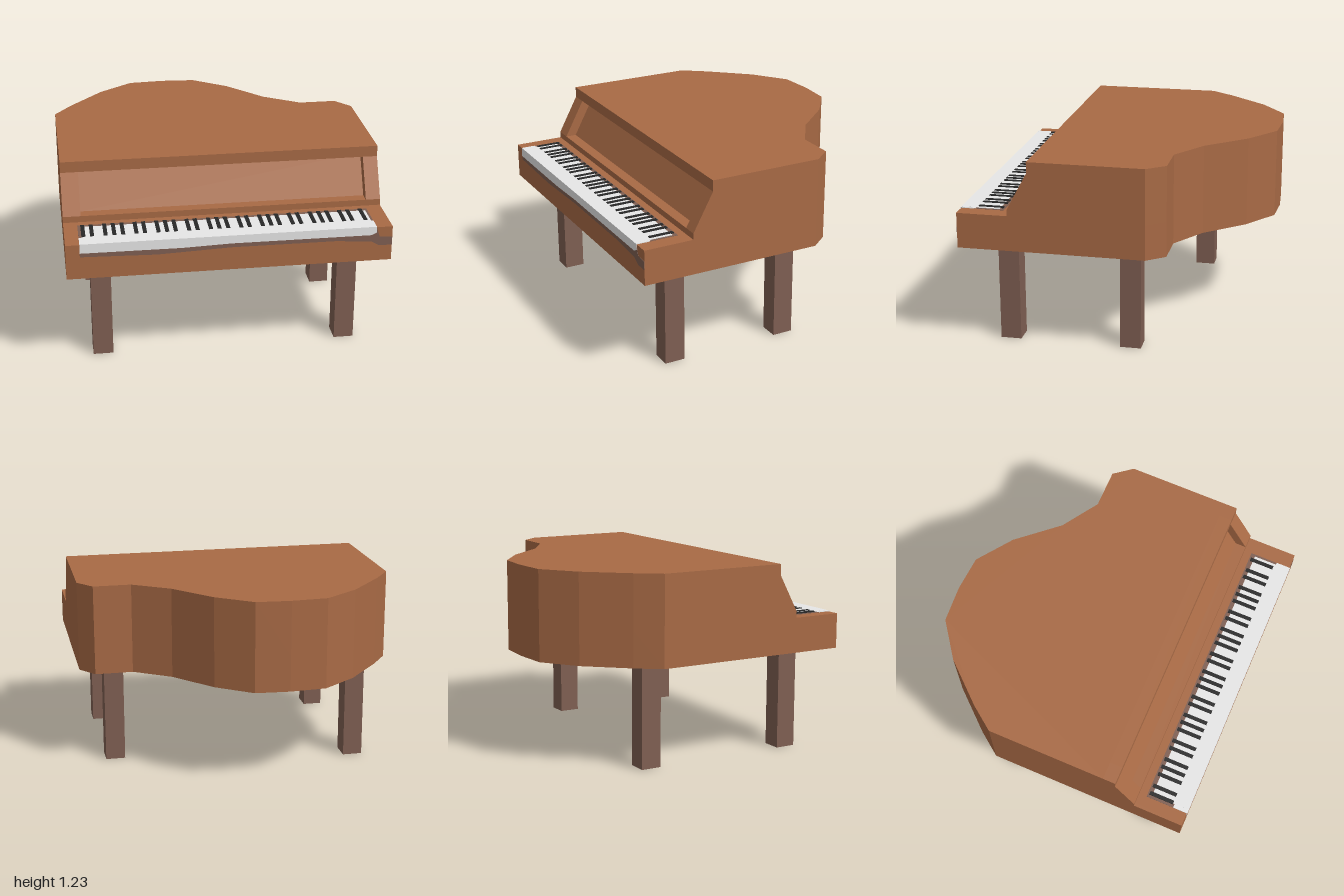
import * as THREE from 'three';

export function createModel() {
  const group = new THREE.Group();
  group.name = 'grandPiano';

  const mat = (name, color) => {
    const m = new THREE.MeshStandardMaterial({ color });
    m.name = name;
    return m;
  };
  const wood = mat('warm wood', 0xa86a45);
  const darkWood = mat('dark wood', 0x7f5f52);
  const ivory = mat('key white', 0xeeeeee);
  const ebony = mat('key black', 0x282828);

  const add = (name, geometry, material) => {
    const mesh = new THREE.Mesh(geometry, material);
    mesh.name = name;
    group.add(mesh);
    return mesh;
  };
  const box = (name, material, x0, x1, y0, y1, z0, z1) =>
    add(name, new THREE.BoxGeometry(x1 - x0, y1 - y0, z1 - z0), material)
      .position.set((x0 + x1) / 2, (y0 + y1) / 2, (z0 + z1) / 2);
  const extrude = (points, depth) => new THREE.ExtrudeGeometry(
    new THREE.Shape(points.map(([a, b]) => new THREE.Vector2(a, b))),
    { depth, bevelEnabled: false });

  // Plan outline [x, z] raised from y0 to y1
  const plan = (name, points, y0, y1) => add(name,
    extrude(points.map(([x, z]) => [x, -z]), y1 - y0)
      .rotateX(-Math.PI / 2).translate(0, y0, 0), wood);
  // Side profile [z, y] running from x0 to x1
  const profile = (name, points, x0, x1) => add(name,
    extrude(points, x1 - x0).rotateY(-Math.PI / 2).translate(x1, 0, 0), wood);

  // Curved case, tall behind and low under the keyboard
  const tail = [[1, -0.245], [0.91, -0.36], [0.67, -0.36], [0.44, -0.51], [0.22, -0.76],
    [0, -0.92], [-0.22, -0.935], [-0.45, -0.92], [-0.67, -0.76], [-0.89, -0.51], [-1, -0.36]];
  plan('lowerCase', [...tail, [-1, 0.931], [1, 0.931]], 0.655, 0.88);
  plan('upperCase', [...tail, [-1, 0.4], [1, 0.4]], 0.88, 1.23);

  // Sloping cheeks either side of the recessed front panel
  const cheek = [[0.4, 0.88], [0.61, 0.88], [0.61, 0.92], [0.48, 1.16], [0.48, 1.23], [0.4, 1.23]];
  const recess = [[0.4, 0.88], [0.61, 0.88], [0.61, 0.92], [0.54, 0.92], [0.41, 1.16],
    [0.48, 1.16], [0.48, 1.23], [0.4, 1.23]];
  profile('rightCheek', cheek, -1, -0.89);
  profile('frontPanel', recess, -0.89, 0.908);
  profile('leftCheek', cheek, 0.908, 1);

  // Keyboard top: dark bed, white keys and black keys
  box('keyBed', darkWood, -0.915, 0.9, 0.88, 0.882, 0.66, 0.85);
  box('whiteKeys', ivory, -0.89, 0.885, 0.88, 0.885, 0.69, 0.934);
  box('whiteKeyFronts', ivory, -0.915, 0.9, 0.88, 0.8845, 0.84, 0.934);
  const octave = [0, 0.052, 0.134, 0.187, 0.24];
  for (let i = 0; i < 28; i++) {
    const x = -0.885 + Math.floor(i / 5) * 0.321 + octave[i % 5];
    box('blackKey', ebony, x - 0.012, x + 0.012, 0.88, 0.889, 0.67, 0.83);
  }

  // Key fronts with the uneven dark band beneath them
  add('keyLip', extrude([[-0.915, 0.88], [-0.915, 0.8], [-0.45, 0.787], [0, 0.805], [0.65, 0.803],
    [0.87, 0.785], [0.92, 0.757], [1, 0.757], [1, 0.81], [0.92, 0.815], [0.9, 0.88]], 0.002)
    .translate(0, 0, 0.931), darkWood);
  add('keyFrontStrip', extrude([[-0.915, 0.885], [-0.915, 0.825], [-0.3, 0.822], [0, 0.832],
    [0.87, 0.83], [0.9, 0.845], [0.9, 0.885]], 0.004).translate(0, 0, 0.931), ivory);

  // Four square legs
  for (const [name, x, z] of [['frontRightLeg', -0.786, 0.655], ['frontLeftLeg', 0.774, 0.655],
    ['backRightLeg', -0.786, -0.36], ['backLeftLeg', 0.774, -0.122]]) {
    box(name, darkWood, x - 0.063, x + 0.063, 0, 0.66, z - 0.066, z + 0.066);
  }

  return group;
}
